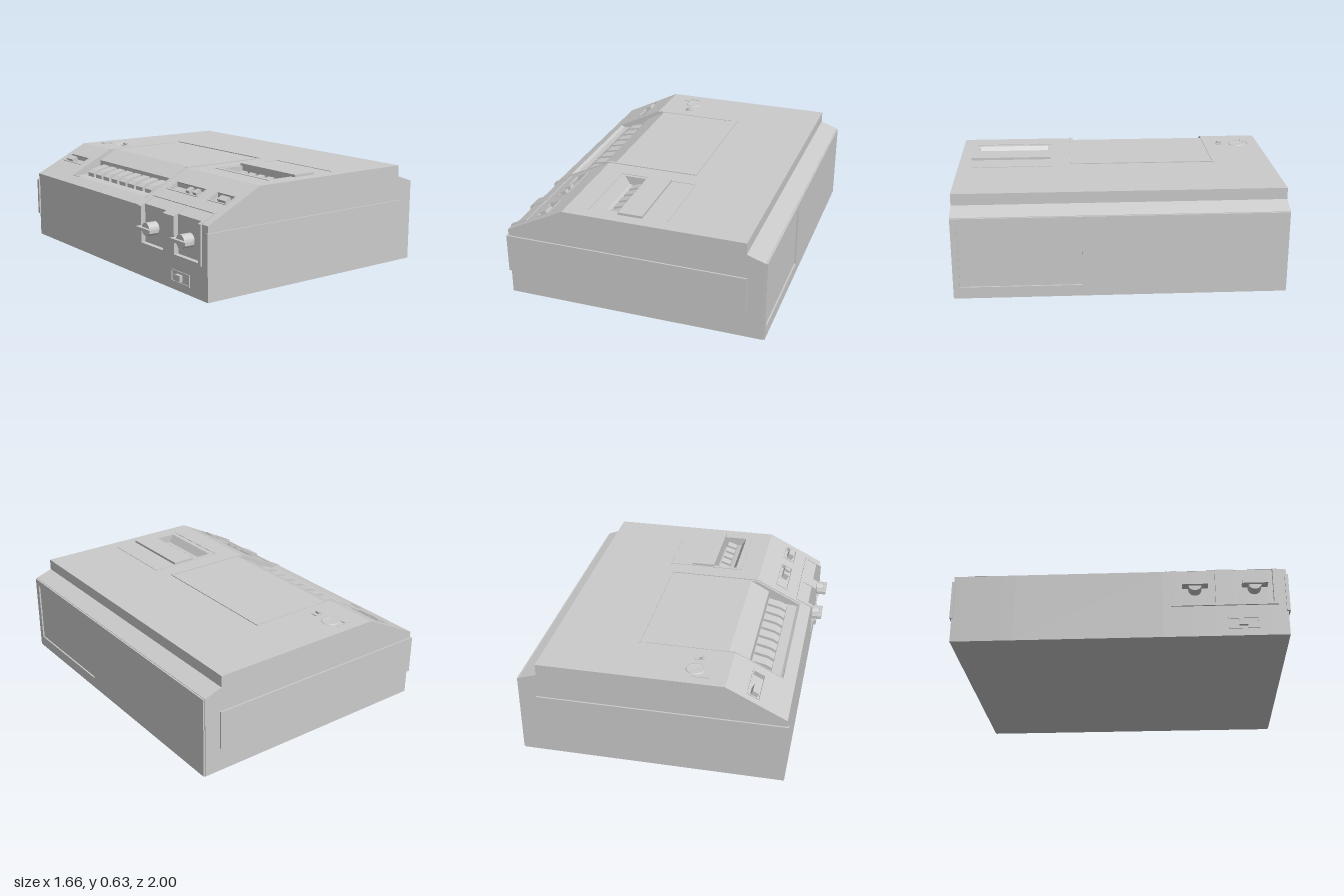
import * as THREE from 'three';

const material = new THREE.MeshStandardMaterial({ color: 0xcccccc });
const SLOPE = Math.atan(0.5);

// Height of the deck: flat on top, sloping down towards -x
const deck = (x) => Math.min(0.61, 0.43 + (x + 0.76) * 0.5);

export function createModel() {
  const root = new THREE.Group();

  const add = (name, geometry, parent = root) => {
    const mesh = new THREE.Mesh(geometry, material);
    mesh.name = name;
    parent.add(mesh);
    return mesh;
  };
  const group = (name) => {
    const g = new THREE.Group();
    g.name = name;
    root.add(g);
    return g;
  };
  // Box given by its limits
  const box = (name, [x0, x1], [y0, y1], [z0, z1], parent) => {
    const m = add(name, new THREE.BoxGeometry(x1 - x0, y1 - y0, z1 - z0), parent);
    m.position.set((x0 + x1) / 2, (y0 + y1) / 2, (z0 + z1) / 2);
    return m;
  };
  // Side profile (x, y) swept from z0 to z1
  const sweep = (name, points, z0, z1, parent) => {
    const shape = new THREE.Shape(points.map((p) => new THREE.Vector2(...p)));
    const g = new THREE.ExtrudeGeometry(shape, { depth: z1 - z0, bevelEnabled: false });
    return add(name, g.translate(0, 0, z0), parent);
  };
  // Thin raised line following the deck through (x, z) points
  const ridge = (name, path, width = 0.01, height = 0.005) => {
    const g = group(name);
    for (let i = 0; i + 1 < path.length; i++) {
      const [a, b] = [path[i], path[i + 1]];
      const p = new THREE.Vector3(a[0], deck(a[0]), a[1]);
      const q = new THREE.Vector3(b[0], deck(b[0]), b[1]);
      const m = add('line', new THREE.BoxGeometry(p.distanceTo(q) + width, height * 2, width), g);
      m.position.lerpVectors(p, q, 0.5);
      const along = q.clone().sub(p).normalize();
      if (Math.abs(along.z) > 0.5) {
        m.rotation.set(0, Math.PI / 2, 0);
        if (a[0] < -0.4) m.rotation.set(0, Math.PI / 2, SLOPE, 'ZYX');
      } else m.rotation.z = Math.atan(along.y / along.x);
    }
  };

  // Recesses in the deck, each listed from high x to low x
  const slot = (z0, z1) => ({
    z0, z1,
    points: [[-0.52, deck(-0.52)], [-0.52, deck(-0.52) - 0.03], [-0.59, deck(-0.59) - 0.03], [-0.59, deck(-0.59)]],
  });
  const pocket = (z0, z1) => ({
    z0, z1, pocket: true,
    points: [[-0.74, deck(-0.74)], [-0.74, 0.21], [-0.76, 0.21]],
  });
  const slots = [[-0.94, -0.7], [0.36, 0.66], [0.76, 0.93]];
  const cuts = [
    ...slots.map((s) => slot(...s)),
    pocket(0.34, 0.57), pocket(0.68, 0.91),
    { z0: -0.62, z1: 0.26, bend: true,
      points: [[-0.36, 0.61], [-0.48, 0.545], [-0.48, 0.475], [-0.67, 0.455], [-0.69, deck(-0.69)]] },
    { z0: 0.43, z1: 0.88,
      points: [[-0.08, 0.61], [-0.08, 0.53], [-0.2, 0.56], [-0.23, 0.61]] },
  ];

  // Case, built in slices between the ends of the recesses
  const body = group('case');
  const stops = [...new Set([-0.99, 0.99, ...cuts.flatMap((c) => [c.z0, c.z1])])].sort((a, b) => a - b);
  for (let i = 0; i + 1 < stops.length; i++) {
    const mid = (stops[i] + stops[i + 1]) / 2;
    const active = cuts.filter((c) => c.z0 < mid && mid < c.z1);
    const runs = active.map((c) => c.points);
    if (!active.some((c) => c.bend)) runs.push([[-0.4, 0.61]]);
    if (!active.some((c) => c.pocket)) runs.push([[-0.76, 0.43]]);
    runs.sort((a, b) => b[0][0] - a[0][0]);
    sweep('caseSlice', [[-0.76, 0], [0.82, 0], [0.82, 0.503], [0.71, 0.54], [0.71, 0.61], ...runs.flat()],
      stops[i], stops[i + 1], body);
  }

  // Raised bands along the front and back
  for (const s of [-1, 1]) box('sideBand', [-0.77, 0.72], [0.15, 0.39], s > 0 ? [0.98, 1] : [-1, -0.98]);

  // End plate with a shallow recessed panel
  const rect = (path, x0, x1, y0, y1) =>
    path.moveTo(x0, y0).lineTo(x1, y0).lineTo(x1, y1).lineTo(x0, y1).closePath();
  const plate = rect(new THREE.Shape(), -0.985, 0.985, 0, 0.5);
  plate.holes.push(rect(new THREE.Path(), -0.95, -0.23, 0.07, 0.46));
  const end = add('endPlate', new THREE.ExtrudeGeometry(plate, { depth: 0.01, bevelEnabled: false }));
  end.rotation.y = Math.PI / 2;
  end.position.x = 0.82;

  // Large row of keys in the sloping well
  const keys = group('mainKeys');
  for (let i = 0; i < 8; i++) {
    const z = -0.525 + i * 0.0995;
    sweep('key', [[-0.61, 0.455], [-0.49, 0.465], [-0.49, 0.525], [-0.575, 0.505], [-0.61, 0.485]],
      z - 0.036, z + 0.036, keys);
  }

  // Small row of keys and the raised lid beside it
  const smallKeys = group('smallKeys');
  for (let i = 0; i < 5; i++) {
    const z = 0.49 + i * 0.0835;
    sweep('key', [[-0.17, 0.54], [-0.11, 0.53], [-0.11, 0.59], [-0.17, 0.57]], z - 0.028, z + 0.028, smallKeys);
  }
  box('smallLid', [-0.08, 0.07], [0.6, 0.625], [0.41, 0.915]);

  // Raised outlines on the deck
  ridge('mainOutline', [[-0.69, 0.28], [-0.4, 0.28], [0.18, 0.28], [0.18, -0.63]]);
  ridge('mainOutlineBack', [[0.14, -0.625], [-0.4, -0.625], [-0.69, -0.625], [-0.69, -0.53]], 0.006, 0.003);
  ridge('smallOutline', [[-0.265, 0.9], [-0.265, 0.405], [0.22, 0.405], [0.22, 0.9]], 0.007, 0.003);
  ridge('socketOutline', [[-0.75, 0.315], [-0.665, 0.315], [-0.665, 0.93], [-0.75, 0.93]], 0.012);

  // Rims and sliders of the three slots on the slope
  const knobZ = [[-0.87], [0.545, 0.615], [0.87]];
  slots.forEach(([z0, z1], i) => {
    ridge('slotRim', [[-0.59, z0], [-0.52, z0], [-0.52, z1], [-0.59, z1], [-0.59, z0]], 0.008, 0.004);
    for (const z of knobZ[i]) {
      const m = add('slider', new THREE.BoxGeometry(0.04, 0.045, i === 1 ? 0.035 : 0.075));
      m.position.set(-0.555, deck(-0.555) - 0.012, z);
      m.rotation.z = SLOPE;
    }
  });

  // Round dial, its pointer mark and a push button
  const profile = [[0, 0.003], [0.022, 0.003], [0.026, 0.006], [0.04, 0.002], [0.045, 0.007], [0.055, 0.005], [0.057, 0]];
  const dial = add('dial', new THREE.LatheGeometry(profile.map((p) => new THREE.Vector2(...p)).reverse(), 32));
  dial.material = new THREE.MeshStandardMaterial({ color: 0xcccccc, side: THREE.DoubleSide });
  dial.position.set(-0.205, 0.61, -0.845);
  box('dialMark', [-0.295, -0.255], [0.605, 0.614], [-0.92, -0.88]);
  box('dialMarkArm', [-0.295, -0.195], [0.605, 0.613], [-0.925, -0.918]);
  box('buttonBase', [-0.235, -0.18], [0.605, 0.614], [-0.745, -0.705]);
  box('button', [-0.225, -0.205], [0.605, 0.627], [-0.74, -0.71]);

  // Two turning knobs in framed pockets at the sloping end
  for (const z of [0.45, 0.8]) {
    const g = group('turnKnob');
    const hub = add('hub', new THREE.CylinderGeometry(0.04, 0.04, 0.07, 28), g);
    hub.rotation.z = Math.PI / 2;
    hub.position.set(-0.775, 0.315, z);
    box('grip', [-0.83, -0.77], [0.305, 0.325], [z - 0.075, z + 0.075], g);
  }
  const frame = group('pocketFrame');
  for (const [z0, z1] of [[0.31, 0.34], [0.57, 0.68], [0.91, 0.935]])
    sweep('post', [[-0.77, 0.2], [-0.75, 0.2], [-0.75, 0.43], [-0.68, 0.465], [-0.68, 0.475], [-0.77, 0.43]], z0, z1, frame);
  box('sill', [-0.77, -0.75], [0.195, 0.21], [0.31, 0.935], frame);

  // Low slide switch below the knobs
  const sw = group('lowSwitch');
  for (const y of [0.045, 0.11]) box('rim', [-0.765, -0.75], [y, y + 0.008], [0.64, 0.82], sw);
  for (const z of [0.64, 0.812]) box('rim', [-0.765, -0.75], [0.045, 0.118], [z, z + 0.008], sw);
  box('slider', [-0.78, -0.75], [0.063, 0.1], [0.7, 0.75], sw);

  return root;
}
